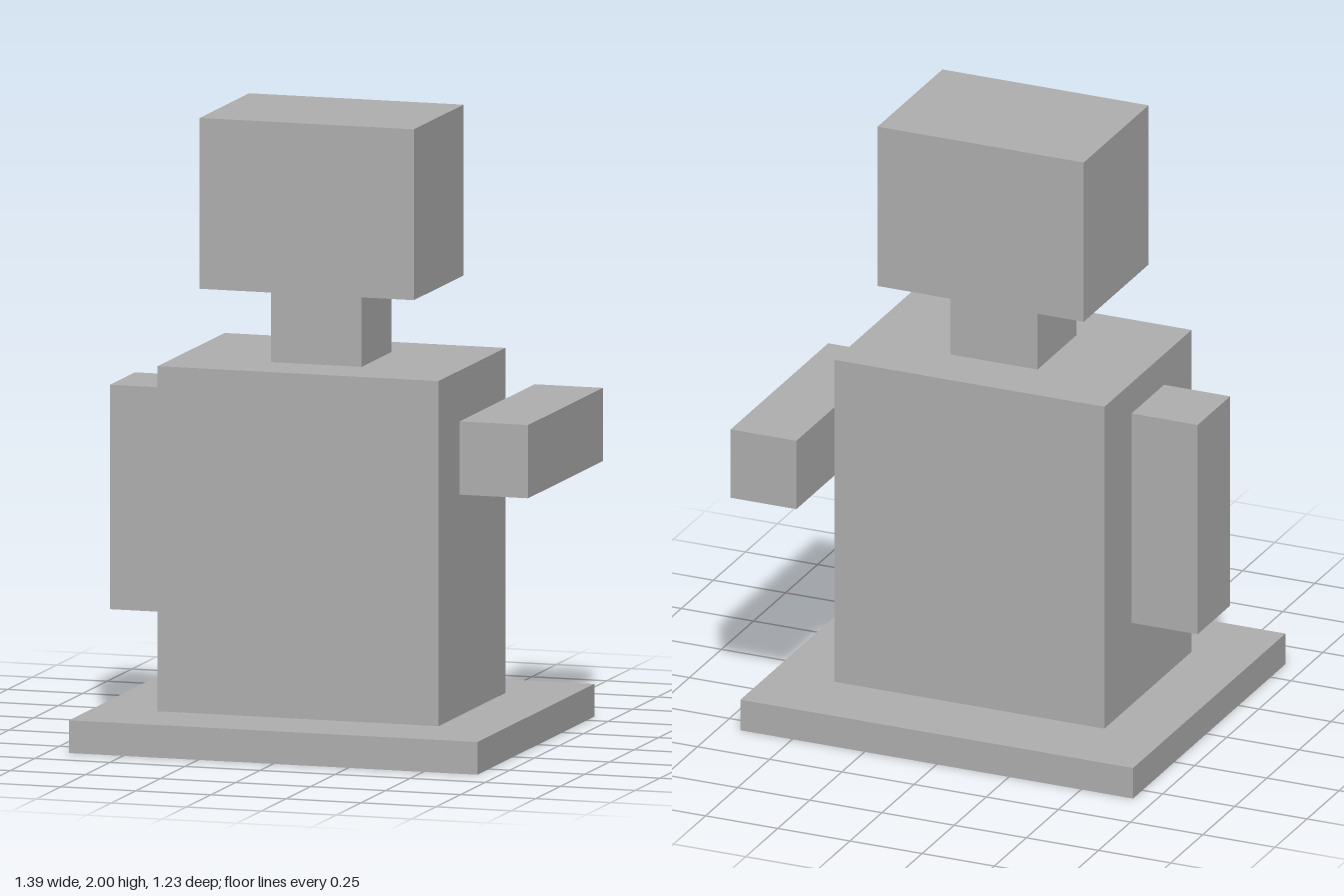
import * as THREE from 'three';

export function createModel() {
  const model = new THREE.Group();
  model.name = 'blockFigure';

  const grey = new THREE.MeshStandardMaterial({ color: 0xb0b0b0 });
  grey.name = 'plain grey';

  // Adds a box spanning the given [min, max] range on each axis
  function block(name, [x0, x1], [y0, y1], [z0, z1]) {
    const mesh = new THREE.Mesh(new THREE.BoxGeometry(x1 - x0, y1 - y0, z1 - z0), grey);
    mesh.position.set((x0 + x1) / 2, (y0 + y1) / 2, (z0 + z1) / 2);
    mesh.name = name;
    model.add(mesh);
  }

  // Base plate and the central stack
  block('base', [-0.68, 0.68], [0, 0.105], [-0.573, 0.616]);
  block('torso', [-0.468, 0.467], [0.105, 1.212], [-0.319, 0.361]);
  block('neck', [-0.152, 0.15], [1.212, 1.452], [-0.129, 0.174]);
  block('head', [-0.358, 0.356], [1.452, 2], [-0.233, 0.273]);

  // Right arm hangs down, left arm reaches backward
  block('rightArm', [-0.697, -0.468], [0.387, 1.107], [-0.108, 0.146]);
  block('leftArm', [0.467, 0.695], [0.814, 1.049], [-0.616, 0.146]);

  return model;
}
